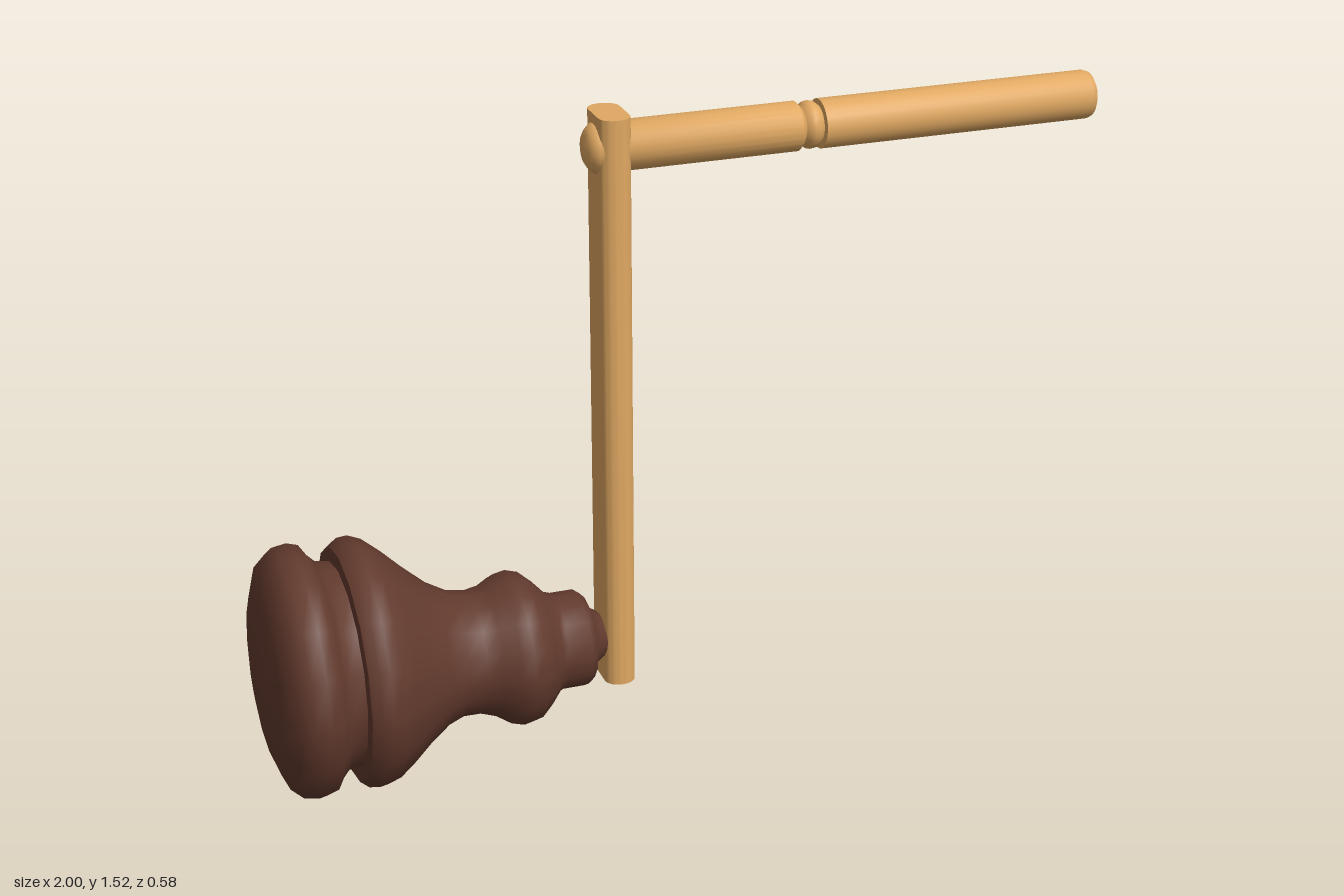
import * as THREE from 'three';
import { toCreasedNormals } from 'three/addons/utils/BufferGeometryUtils.js';

const wood = new THREE.MeshStandardMaterial({ color: 0xe0a862 });
const darkWood = new THREE.MeshStandardMaterial({ color: 0x623a2d });

// Turned part along the x axis; profile is a list of [x, radius] from -x to +x
function turned(name, profile, sides, material, centreY) {
  const geo = new THREE.LatheGeometry(profile.map(([x, r]) => new THREE.Vector2(r, x)), sides);
  geo.rotateZ(-Math.PI / 2);
  const pos = geo.attributes.position;
  for (let i = 0; i < pos.count; i++) pos.setY(i, pos.getY(i) + centreY(pos.getX(i)));
  const mesh = new THREE.Mesh(toCreasedNormals(geo, 0.8), material);
  mesh.name = name;
  return mesh;
}

export function createModel() {
  const group = new THREE.Group();
  group.name = 'crankHandle';

  // Knob: sixteen-sided turning whose neck sits a little lower than its wide end
  const knobProfile = [
    [-1, 0], [-0.997, 0.1], [-0.983, 0.19], [-0.958, 0.26], [-0.93, 0.285], [-0.895, 0.291],
    [-0.868, 0.283], [-0.852, 0.258], [-0.835, 0.241], [-0.802, 0.236],
    [-0.8, 0.27], [-0.78, 0.286], [-0.755, 0.289], [-0.725, 0.278], [-0.685, 0.247],
    [-0.64, 0.207], [-0.59, 0.168], [-0.545, 0.147], [-0.5, 0.144], [-0.465, 0.153],
    [-0.43, 0.174], [-0.4, 0.181], [-0.37, 0.173], [-0.34, 0.146], [-0.315, 0.118],
    [-0.3, 0.113], [-0.245, 0.113], [-0.228, 0.1], [-0.217, 0.068], [-0.2, 0.058],
    [-0.188, 0.05], [-0.185, 0],
  ];
  const knobCentre = (x) => 0.297 - 0.031 * THREE.MathUtils.smoothstep(x, -0.8, -0.35);
  group.add(turned('knob', knobProfile, 16, darkWood, knobCentre));

  // Arm: upright bar with rounded front and back edges
  const halfW = 0.036, flat = 0.036, halfD = 0.067;
  const section = new THREE.Shape();
  section.moveTo(halfW, -flat);
  section.lineTo(halfW, flat);
  section.absellipse(0, flat, halfW, halfD - flat, 0, Math.PI, false);
  section.lineTo(-halfW, -flat);
  section.absellipse(0, -flat, halfW, halfD - flat, Math.PI, 2 * Math.PI, false);
  const armGeo = new THREE.ExtrudeGeometry(section, { depth: 1.37, bevelEnabled: false, curveSegments: 10 });
  armGeo.rotateX(-Math.PI / 2);
  const arm = new THREE.Mesh(toCreasedNormals(armGeo, 0.8), wood);
  arm.name = 'arm';
  arm.position.set(-0.157, 0.16, 0);
  group.add(arm);

  // Grip: round rod through the arm, with a domed peg end and a beaded groove
  const gripProfile = [
    [-0.214, 0], [-0.213, 0.034], [-0.206, 0.045], [-0.194, 0.056], [0.275, 0.056],
    [0.286, 0.045], [0.288, 0.042], [0.297, 0.052], [0.306, 0.054], [0.318, 0.052],
    [0.329, 0.043], [0.331, 0.056], [0.983, 0.056], [0.994, 0.052], [1, 0.042], [1, 0],
  ];
  group.add(turned('grip', gripProfile, 24, wood, () => 1.452));

  return group;
}
